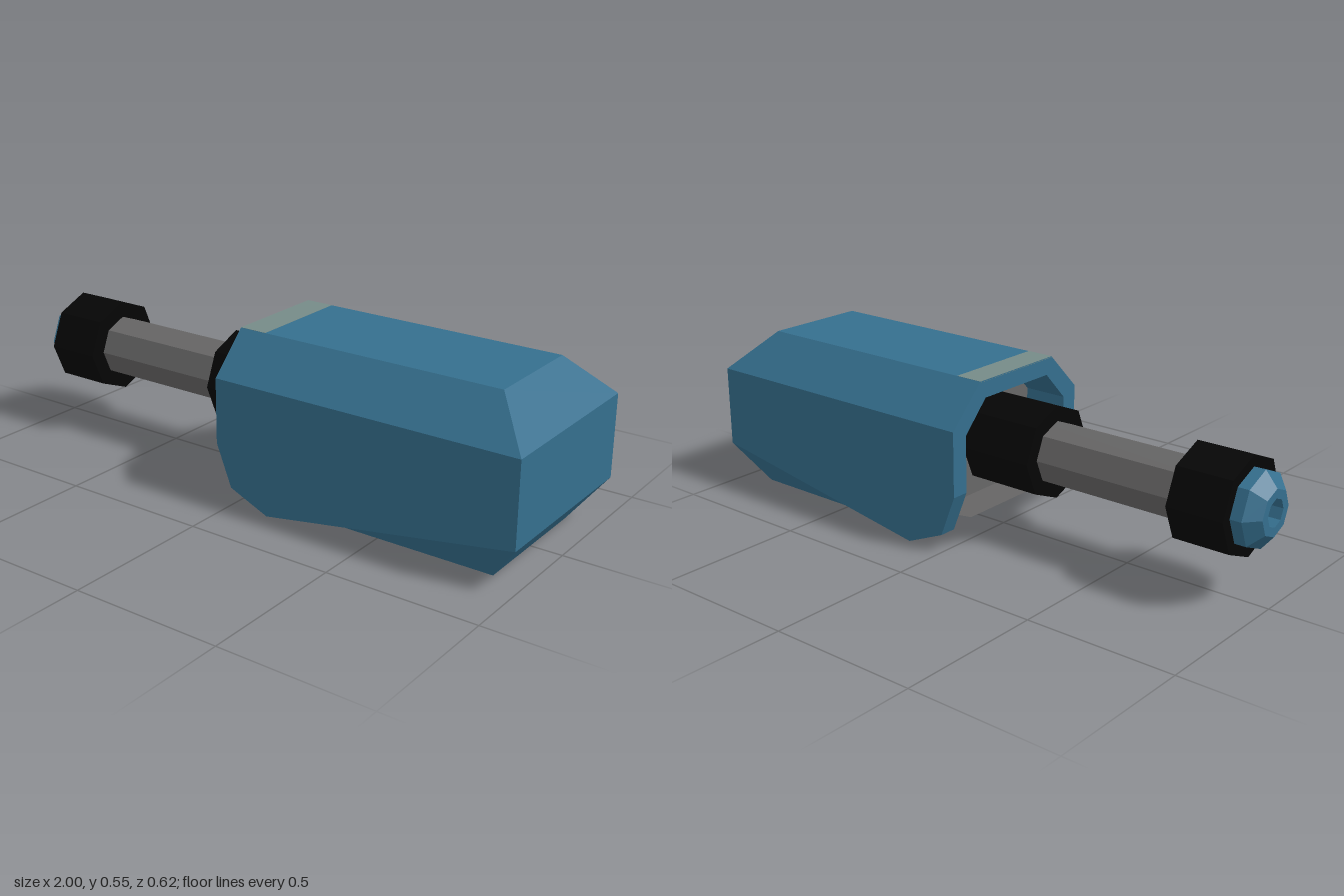
import * as THREE from 'three';

const mat = (name, color, side = THREE.FrontSide) =>
  new THREE.MeshStandardMaterial({ name, color, side, flatShading: true });

// Corner points of the housing on its +z half: capitals outside, small letters inside
const P = {
  A: [-0.055, 0.2, 0.31], B: [0, 0.06, 0.31], C: [0.14, 0, 0.31], D: [1, 0.14, 0.31],
  E: [1, 0.417, 0.31], F: [-0.055, 0.417, 0.31], G: [-0.055, 0.548, 0.18], H: [0.87, 0.548, 0.18],
  K: [0.895, 0, 0.23],
  a: [-0.055, 0.2, 0.25], b: [0, 0.06, 0.25], c: [0.14, 0, 0.23],
  e: [0.93, 0.39, 0.25], f: [-0.055, 0.39, 0.25], g: [-0.055, 0.49, 0.155], h: [0.85, 0.49, 0.155],
};
const flip = ([x, y, z]) => [x, y, -z];

// Turns flat polygons into a geometry by fanning from the first corner
function polygons(list) {
  const pos = [];
  for (const poly of list)
    for (let i = 1; i < poly.length - 1; i++) pos.push(...poly[0], ...poly[i], ...poly[i + 1]);
  const geo = new THREE.BufferGeometry();
  geo.setAttribute('position', new THREE.Float32BufferAttribute(pos, 3));
  geo.computeVertexNormals();
  return geo;
}

function housingGeometry() {
  const faces = [];
  // Sides, chamfers, underside facets, rim and inner walls, mirrored in z
  for (const word of ['FABCDE', 'FEHG', 'CcD', 'cKD', 'FfaA', 'FGgf', 'AabB', 'BbcC', 'feKcba', 'fghe']) {
    const poly = [...word].map((k) => P[k]);
    faces.push(poly, poly.map(flip).reverse());
  }
  // Faces that span from one side to the other
  for (const [p, q] of ['GH', 'HE', 'ED', 'DK', 'hg', 'eh', 'Ke', 'gG'])
    faces.push([P[p], P[q], flip(P[q]), flip(P[p])]);
  return polygons(faces);
}

export function createModel() {
  const model = new THREE.Group();
  model.name = 'model';
  const blue = mat('blue shell', 0x356f8e, THREE.DoubleSide);
  const grey = mat('grey metal', 0x686767, THREE.DoubleSide);
  const black = mat('black rubber', 0x050505);
  const pale = mat('pale strip', 0x768b88);

  const add = (name, geo, material) => {
    const mesh = new THREE.Mesh(geo, material);
    mesh.name = name;
    model.add(mesh);
    return mesh;
  };
  // Eight-sided bar along x
  const axisY = 0.303;
  const bar = (name, x0, x1, r, material) => {
    const geo = new THREE.CylinderGeometry(r, r, x1 - x0, 8).rotateZ(Math.PI / 2);
    add(name, geo, material).position.set((x0 + x1) / 2, axisY, 0);
  };

  add('housing', housingGeometry(), blue);

  // Sloping floor in the underside opening
  const floorEnd = [-0.055, 0.11, 0.23];
  add('floor', polygons([[floorEnd, flip(floorEnd), flip(P.K), P.K]]), grey);

  // Wall that closes the mouth behind the collar
  const wall = [[0.1, 0.09, 0.24], [0.1, 0.39, 0.25], [0.1, 0.49, 0.155]];
  add('mouthWall', polygons([[...wall, ...wall.map(flip).reverse()]]), grey);

  // Inlaid strip at the mouth
  add('rimStrip', new THREE.BoxGeometry(0.095, 0.004, 0.36), pale).position.set(-0.0075, 0.5465, 0);

  bar('barrel', -0.93, 0.1, 0.105, grey);
  bar('rearCollar', -0.22, 0.04, 0.156, black);
  bar('frontCollar', -0.922, -0.732, 0.16, black);

  // Hollow bevelled tip
  const profile = [[0.123, 0.9], [0.123, 0.96], [0.075, 1], [0.045, 1], [0.045, 0.95], [0, 0.95]]
    .map(([r, y]) => new THREE.Vector2(r, y));
  add('tip', new THREE.LatheGeometry(profile, 8).rotateZ(Math.PI / 2), blue).position.y = axisY;

  return model;
}
